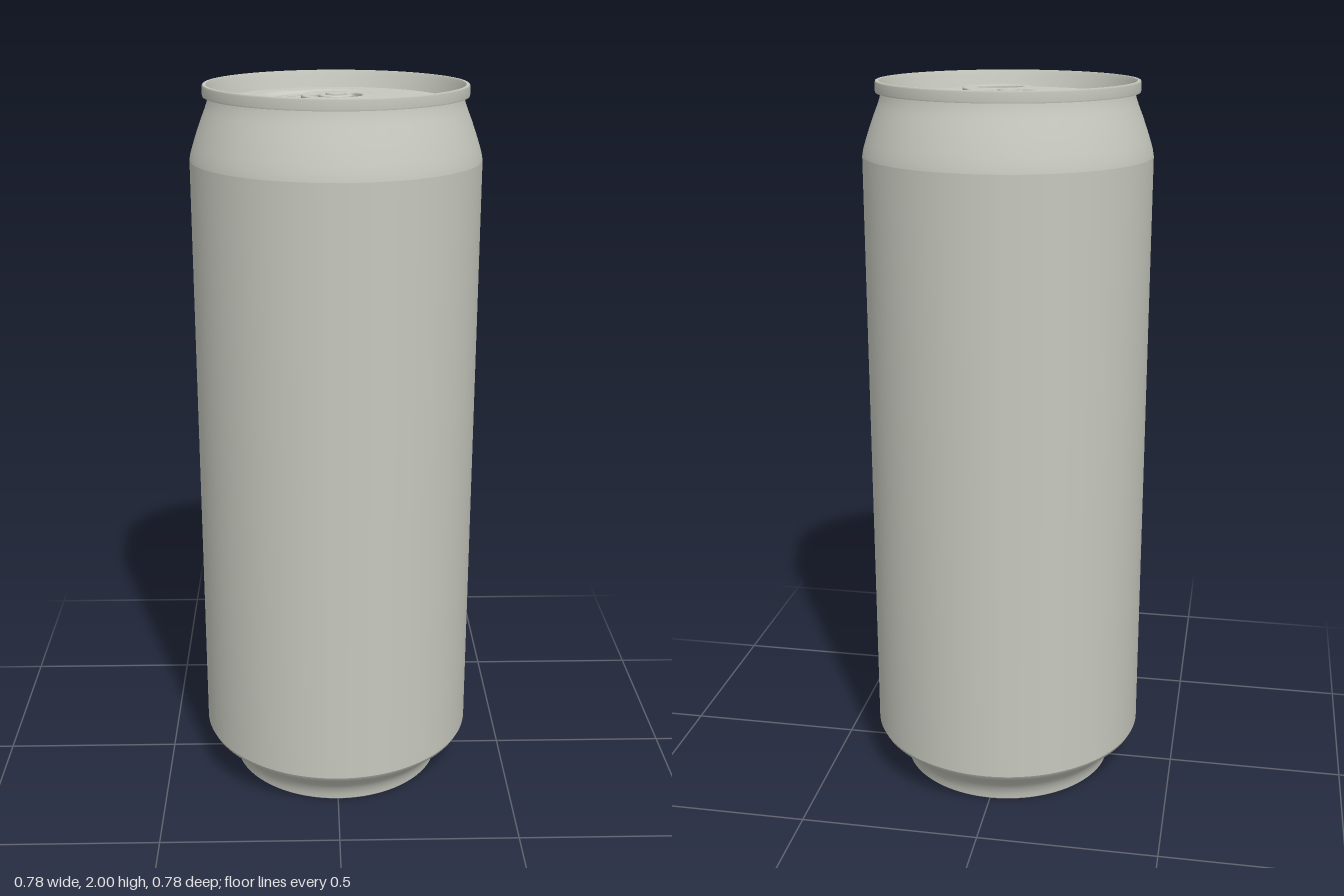
import * as THREE from 'three';
import { mergeVertices } from 'three/addons/utils/BufferGeometryUtils.js';

const SEG = 96;
const PANEL_Y = 1.957, FLOOR_Y = 1.948;

export function createModel() {
  const group = new THREE.Group();
  const aluminium = new THREE.MeshStandardMaterial({ color: 0xc6c8be });
  aluminium.name = 'aluminium';

  const add = (name, geometry) => {
    const mesh = new THREE.Mesh(geometry, aluminium);
    mesh.name = name;
    group.add(mesh);
    return mesh;
  };
  const vectors = (pts) => pts.map(([a, b]) => new THREE.Vector2(a, b));
  const lathe = (name, pts) => add(name, new THREE.LatheGeometry(vectors(pts), SEG));

  // Underside: hollow dome, inner wall and standing ring
  const dome = [];
  for (let i = 0; i <= 12; i++) {
    const r = 0.268 * i / 12;
    dome.push([r, 0.03 + 0.075 * (1 - (r / 0.268) ** 2)]);
  }
  lathe('bottomDome', dome);
  lathe('bottomInnerWall', [[0.268, 0.03], [0.279, 0.015], [0.287, 0.002]]);
  lathe('standingRing', [[0.287, 0.002], [0.291, 0], [0.3, 0], [0.304, 0.004]]);

  // Outer body, separate pieces keep the creases sharp
  lathe('baseTaper', [[0.304, 0.004], [0.306, 0.02], [0.313, 0.04], [0.326, 0.06],
    [0.345, 0.08], [0.368, 0.1], [0.384, 0.115], [0.39, 0.127]]);
  lathe('bodyWall', [[0.39, 0.127], [0.39, 1.805]]);
  lathe('neck', [[0.39, 1.805], [0.387, 1.822], [0.38, 1.845], [0.37, 1.875],
    [0.358, 1.908], [0.347, 1.935], [0.34, 1.955], [0.337, 1.97]]);

  // Seamed rim and countersink
  lathe('rimUnderside', [[0.337, 1.97], [0.351, 1.97]]);
  lathe('rimSide', [[0.351, 1.97], [0.352, 1.974], [0.352, 1.996], [0.35, 2]]);
  lathe('rimTop', [[0.35, 2], [0.342, 2]]);
  lathe('rimInnerWall', [[0.342, 2], [0.338, 1.99], [0.327, 1.95]]);
  lathe('countersink', [[0.327, 1.95], [0.319, 1.947], [0.312, 1.949], [0.307, 1.955], [0.303, PANEL_Y]]);

  // Lid panel: a fine disc pressed down inside a rounded triangle
  const corners = vectors([[-0.1, -0.115], [0, -0.15], [0.06, 0.145]]);
  const distanceToTriangle = (p) => {
    let best = Infinity, inside = true;
    corners.forEach((a, i) => {
      const edge = corners[(i + 1) % 3].clone().sub(a);
      const rel = p.clone().sub(a);
      if (edge.cross(rel) < 0) inside = false;
      const t = THREE.MathUtils.clamp(rel.dot(edge) / edge.lengthSq(), 0, 1);
      best = Math.min(best, rel.sub(edge.multiplyScalar(t)).length());
    });
    return inside ? 0 : best;
  };
  const discProfile = [];
  for (let i = 64; i >= 0; i--) discProfile.push(new THREE.Vector2(0.303 * i / 64, PANEL_Y));
  let panel = new THREE.LatheGeometry(discProfile, 128);
  panel.deleteAttribute('uv');
  panel.deleteAttribute('normal');
  panel = mergeVertices(panel, 1e-5);
  const pos = panel.attributes.position;
  for (let i = 0; i < pos.count; i++) {
    const d = distanceToTriangle(new THREE.Vector2(pos.getX(i), pos.getZ(i)));
    pos.setY(i, FLOOR_Y + (PANEL_Y - FLOOR_Y) * THREE.MathUtils.smoothstep(d, 0.078, 0.1));
  }
  panel.computeVertexNormals();
  add('lidPanel', panel);

  // Score line and pressed bead of the mouth opening
  const loop = (name, pts, radius, flatten) => {
    const curve = new THREE.CatmullRomCurve3(pts.map(([x, z]) => new THREE.Vector3(x, 0, z)), true);
    const mesh = add(name, new THREE.TubeGeometry(curve, 120, radius, 8, true));
    mesh.scale.y = flatten;
    mesh.position.y = FLOOR_Y;
  };
  loop('scoreLine', [[-0.12, -0.024], [-0.16, -0.06], [-0.175, -0.11], [-0.14, -0.17], [-0.08, -0.21],
    [0, -0.225], [0.06, -0.21], [0.09, -0.165], [0.092, -0.125], [0.06, -0.092], [0, -0.075], [-0.07, -0.03]], 0.0018, 1);
  loop('mouthBead', [[-0.14, -0.085], [-0.148, -0.12], [-0.11, -0.165], [-0.04, -0.195], [0.03, -0.195],
    [0.073, -0.16], [0.07, -0.125], [0.02, -0.117], [-0.03, -0.115], [-0.07, -0.085], [-0.11, -0.07]], 0.009, 0.35);

  // Pull tab: two joined circles, with a finger hole and a crescent slot
  const tab = new THREE.Group();
  tab.name = 'pullTab';
  tab.rotation.y = 0.39;
  group.add(tab);
  const r1 = 0.092, r2 = 0.097, length = 0.127;
  const tilt = Math.asin((r2 - r1) / length);
  const outline = new THREE.Shape();
  outline.absarc(0, 0, r1, Math.PI + tilt, 2 * Math.PI - tilt, false);
  outline.absarc(0, length, r2, -tilt, Math.PI + tilt, false);
  outline.closePath();

  const fingerHole = new THREE.Path();
  fingerHole.absellipse(-0.008, 0.136, 0.066, 0.049, 0, Math.PI * 2, true);
  const slot = new THREE.Path();
  const a0 = -0.32, a1 = Math.PI + 0.32, mid = 0.057, half = 0.013;
  slot.absarc(0, 0, mid + half, a0, a1, false);
  slot.absarc(mid * Math.cos(a1), mid * Math.sin(a1), half, a1, a1 + Math.PI, false);
  slot.absarc(0, 0, mid - half, a1, a0, true);
  slot.absarc(mid * Math.cos(a0), mid * Math.sin(a0), half, a0 + Math.PI, a0 + 2 * Math.PI, false);
  outline.holes.push(fingerHole, slot);

  const plate = new THREE.ExtrudeGeometry(outline, {
    depth: 0.009, curveSegments: 32, bevelEnabled: true,
    bevelThickness: 0.004, bevelSize: 0.004, bevelOffset: -0.004, bevelSegments: 3,
  });
  plate.rotateX(Math.PI / 2);
  const tabPlate = add('tabPlate', plate);
  tabPlate.position.y = 1.967;
  tab.add(tabPlate);

  // Rivet holding the tab
  const rivet = lathe('rivet', [[0.028, FLOOR_Y], [0.028, 1.973], [0.025, 1.976], [0, 1.977]]);
  tab.add(rivet);

  return group;
}
